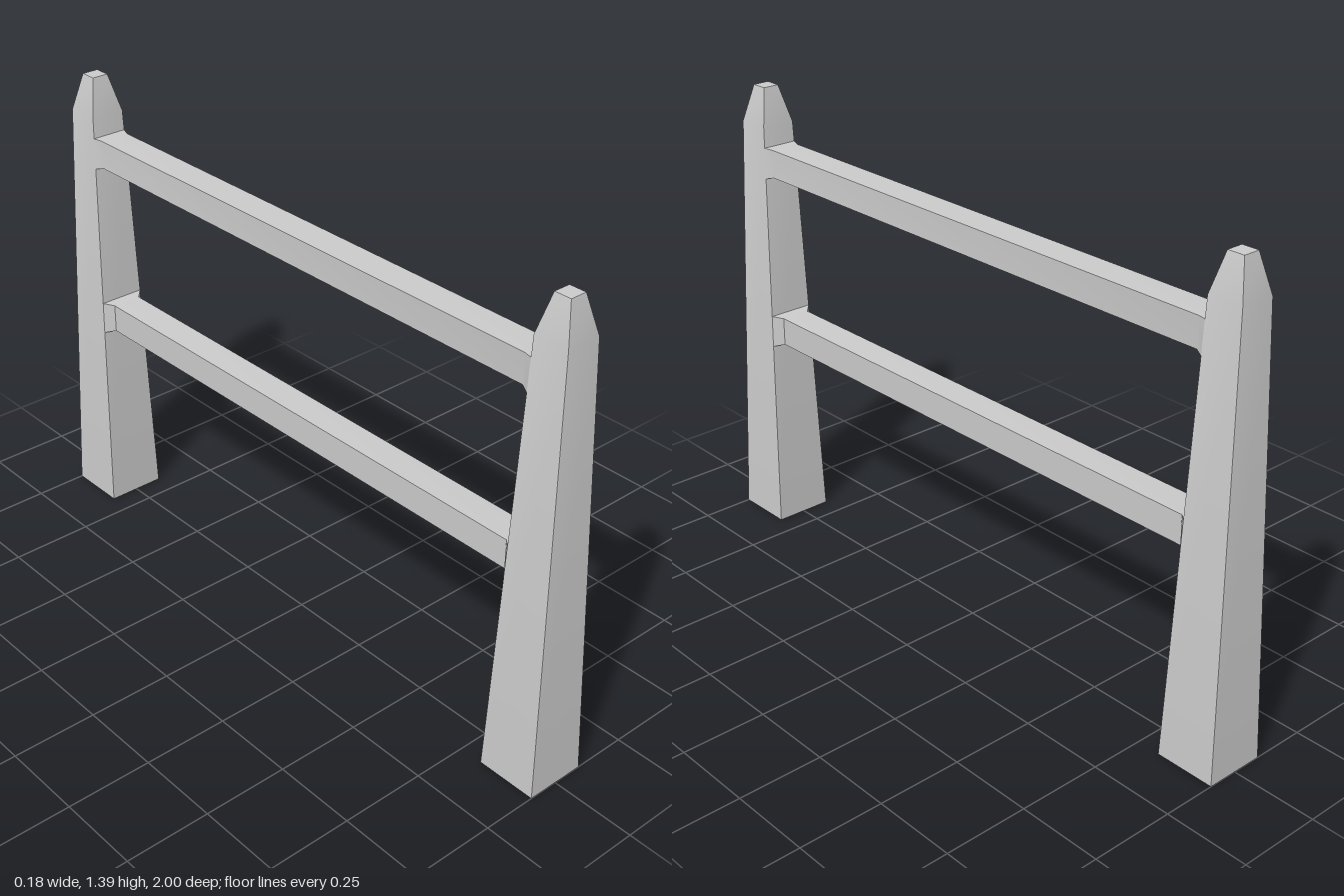
import * as THREE from 'three';
import { toCreasedNormals } from 'three/addons/utils/BufferGeometryUtils.js';

const material = new THREE.MeshStandardMaterial({ color: 0xcccccc, side: THREE.DoubleSide });
const POST_Z = 0.91;
// half width of a post's shaft at height y
const postHalf = (y) => 0.09 - 0.0297 * y;

// skins a list of four-cornered rings, optionally closing the last one
function loft(rings, capEnd) {
  const index = [];
  for (let r = 0; r < rings.length - 1; r++) {
    for (let i = 0; i < 4; i++) {
      const a = r * 4 + i, b = r * 4 + (i + 1) % 4;
      index.push(a, b, b + 4, a, b + 4, a + 4);
    }
  }
  if (capEnd) {
    const e = (rings.length - 1) * 4;
    index.push(e, e + 1, e + 2, e, e + 2, e + 3);
  }
  const geometry = new THREE.BufferGeometry();
  geometry.setAttribute('position', new THREE.Float32BufferAttribute(rings.flat(2), 3));
  geometry.setIndex(index);
  return toCreasedNormals(geometry, Math.PI / 6);
}

// tapered square post, open underneath, with a blunt pointed tip
function postGeometry() {
  const profile = [[postHalf(0), 0], [postHalf(1.28), 1.28], [0.025, 1.39]];
  return loft(profile.map(([h, y]) => [[h, y, h], [h, y, -h], [-h, y, -h], [-h, y, h]]), true);
}

// square rail whose ends flare out to the full width of the posts
function railGeometry(bottom, top, endBottom, endTop, flareZ) {
  const ring = (lo, hi, wLo, wHi, zLo, zHi) =>
    [[wLo, lo, zLo], [wHi, hi, zHi], [-wHi, hi, zHi], [-wLo, lo, zLo]];
  const end = (s) => {
    const wLo = postHalf(endBottom), wHi = postHalf(endTop);
    return ring(endBottom, endTop, wLo, wHi, s * (POST_Z - wLo), s * (POST_Z - wHi));
  };
  const middle = (s) => ring(bottom, top, 0.045, 0.045, s * flareZ, s * flareZ);
  return loft([end(-1), middle(-1), middle(1), end(1)], false);
}

export function createModel() {
  const model = new THREE.Group();
  model.name = 'fence';
  const add = (name, geometry, z = 0) => {
    const mesh = new THREE.Mesh(geometry, material);
    mesh.name = name;
    mesh.position.z = z;
    model.add(mesh);
  };

  // posts
  const post = postGeometry();
  add('frontPost', post, POST_Z);
  add('backPost', post, -POST_Z);

  // rails
  add('upperRail', railGeometry(1.133, 1.218, 1.127, 1.22, 0.83));
  add('lowerRail', railGeometry(0.602, 0.688, 0.596, 0.694, 0.815));
  return model;
}
